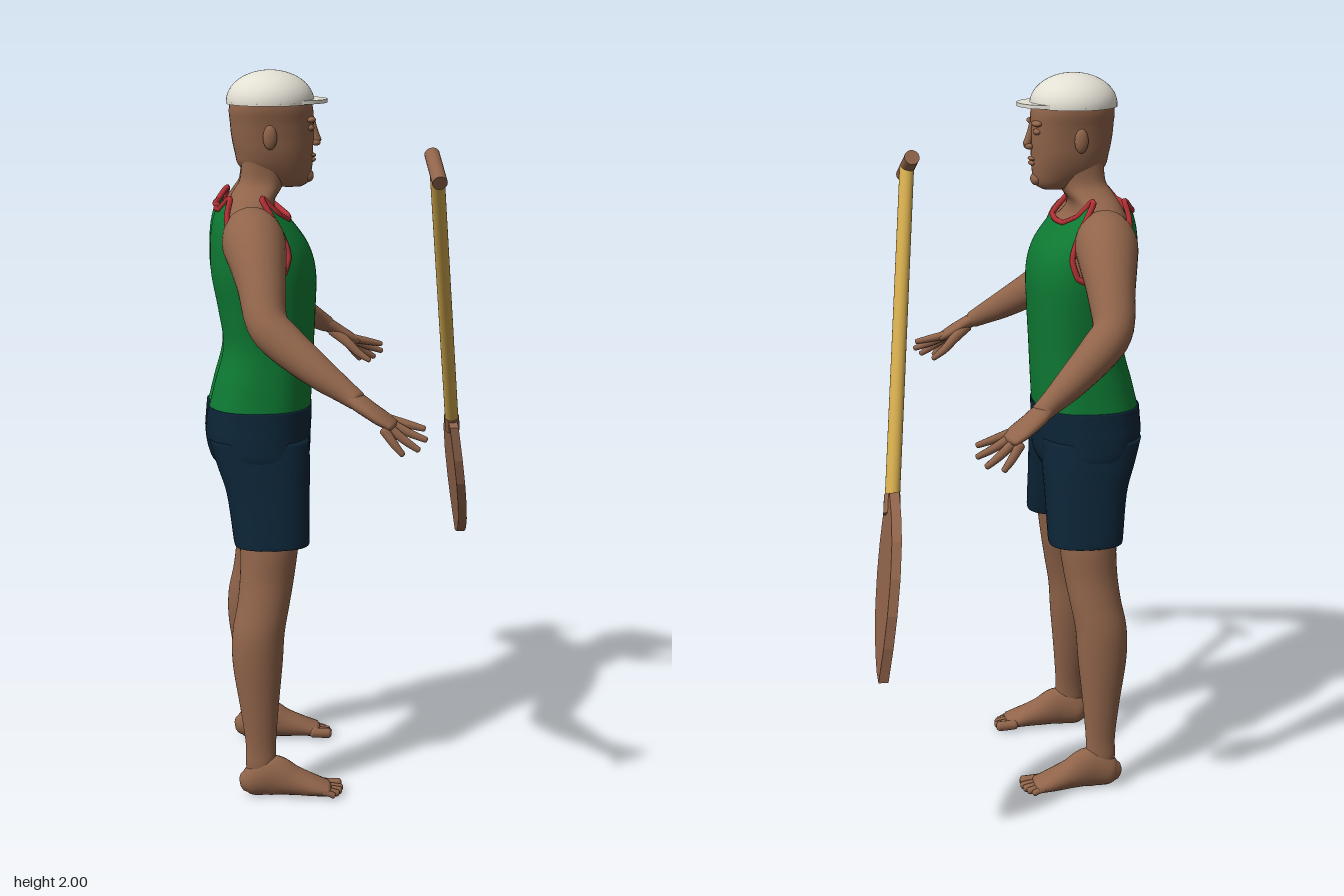
import * as THREE from 'three';

const mat = (name, color, side = THREE.FrontSide) => {
  const m = new THREE.MeshStandardMaterial({ color, side });
  m.name = name;
  return m;
};

// Catmull-Rom through rows of numbers, k steps per span
function smooth(rows, k = 5) {
  const out = [], last = rows.length - 1, at = i => rows[Math.max(0, Math.min(last, i))];
  for (let i = 0; i < last; i++) {
    for (let s = 0; s < k; s++) {
      const t = s / k;
      out.push(rows[i].map((b, c) => {
        const a = at(i - 1)[c], d = at(i + 1)[c], e = at(i + 2)[c];
        return b + 0.5 * t * (d - a + t * (2 * a - 5 * b + 4 * d - e + t * (3 * (b - d) + e - a)));
      }));
    }
  }
  out.push(rows[last]);
  return out;
}

// Closed rings joined into a skin, with optional end caps
function skinRings(rings, caps = true) {
  const n = rings[0].length, pts = rings.flat(), idx = [];
  for (let i = 0; i < rings.length - 1; i++) {
    for (let j = 0; j < n; j++) {
      const a = i * n + j, b = i * n + (j + 1) % n;
      idx.push(a, a + n, b, b, a + n, b + n);
    }
  }
  if (caps) {
    [rings[0], rings[rings.length - 1]].forEach((ring, end) => {
      const c = ring.reduce((s, p) => s.add(p), new THREE.Vector3()).divideScalar(n);
      const o = end ? (rings.length - 1) * n : 0, m = pts.push(c) - 1;
      for (let j = 0; j < n; j++) {
        const a = o + j, b = o + (j + 1) % n;
        idx.push(...(end ? [m, b, a] : [m, a, b]));
      }
    });
  }
  const g = new THREE.BufferGeometry().setFromPoints(pts);
  g.setIndex(idx);
  g.computeVertexNormals();
  return g;
}

// Point on a level cross-section row [y, back, front, z0, z1]
function rowPoint([y, xb, xf, z0, z1], a, n = 2.2, groove = 0) {
  const f = v => Math.sign(v) * Math.abs(v) ** (2 / n);
  const c = Math.cos(a), z = (z0 + z1) / 2 + f(Math.sin(a)) * (z1 - z0) / 2;
  let x = (xb + xf) / 2 + f(c) * (xf - xb) / 2;
  if (c < 0) x += groove * Math.exp(-((z / 0.035) ** 2));
  return new THREE.Vector3(x, y, z);
}
const angles = n => Array.from({ length: n }, (_, j) => j / n * Math.PI * 2);
const loft = (rows, n = 2.2, groove = 0, seg = 40) =>
  skinRings(smooth(rows).map(r => angles(seg).map(a => rowPoint(r, a, n, groove))));
const sym = rows => rows.map(([y, b, f, w]) => [y, b, f, -w, w]);
const flip = (rows, s) => s > 0 ? rows : rows.map(([y, b, f, z0, z1]) => [y, b, f, -z1, -z0]);

// Limb along points [x, y, z, upright radius, sideways radius], with rounded ends
function limb(points, s = 1, seg = 20) {
  const rows = smooth(points.map(([x, y, z, r, w = r]) => [x, y, z * s, r, w]));
  const P = rows.map(r => new THREE.Vector3(r[0], r[1], r[2])), rings = [], L = rows.length - 1;
  rows.forEach((r, i) => {
    const T = P[Math.min(i + 1, L)].clone().sub(P[Math.max(i - 1, 0)]).normalize();
    const U = new THREE.Vector3(0, 1, 0);
    U.addScaledVector(T, -U.dot(T)).normalize();
    const W = new THREE.Vector3().crossVectors(U, T);
    const ring = (k, off) => angles(seg).map(a => P[i].clone().addScaledVector(T, off * r[3])
      .addScaledVector(U, Math.cos(a) * r[3] * k).addScaledVector(W, Math.sin(a) * r[4] * k));
    if (i === L) rings.push(ring(1, 0), ring(0.8, 0.3), ring(0.4, 0.5));
    else if (i === 0) rings.push(ring(0.4, -0.5), ring(0.8, -0.3), ring(1, 0));
    else rings.push(ring(1, 0));
  });
  return skinRings(rings);
}

export function createModel() {
  const group = new THREE.Group();
  const skin = mat('skin', 0x90644a), green = mat('green shirt', 0x0e7a33, THREE.DoubleSide);
  const red = mat('red trim', 0xb23034), navy = mat('navy shorts', 0x0c2436);
  const white = mat('white cap', 0xe2dfd3), pole = mat('yellow shaft', 0xd0a84c), wood = mat('brown wood', 0x91644b);
  const add = (name, geo, m) => {
    const mesh = new THREE.Mesh(geo, m);
    mesh.name = name;
    group.add(mesh);
    return mesh;
  };
  const ball = (name, m, x, y, z, a, b, c) => {
    const mesh = add(name, new THREE.SphereGeometry(1, 20, 14), m);
    mesh.position.set(x, y, z);
    mesh.scale.set(a, b, c);
  };

  // Torso, skin just inside the shirt, running up into the neck
  const body = [[1.07, -.405, -.115, .182], [1.15, -.385, -.11, .178], [1.25, -.36, -.105, .176],
    [1.35, -.372, -.1, .19], [1.45, -.39, -.098, .205], [1.52, -.392, -.115, .208],
    [1.58, -.388, -.155, .2], [1.63, -.375, -.2, .18], [1.67, -.352, -.235, .165]];
  const inner = body.slice(0, 7).map(([y, b, f, w]) => [y, b + .014, f - .014, w - .014]);
  add('torso', loft(sym([...inner, [1.62, -.36, -.205, .16], [1.65, -.345, -.21, .128],
    [1.68, -.33, -.192, .085], [1.71, -.315, -.18, .066], [1.77, -.31, -.165, .064]]), 2.4, .012), skin);

  // Vest: its upper edge follows neckline, straps and armholes
  const edge = [[0, 1.6], [20, 1.603], [36, 1.625], [45, 1.665], [52, 1.668], [57, 1.6], [64, 1.52], [75, 1.47],
    [90, 1.45], [105, 1.47], [116, 1.52], [123, 1.6], [128, 1.668], [136, 1.665], [150, 1.635], [180, 1.63]];
  const edgeY = a => {
    const d = Math.abs((a * 180 / Math.PI + 180) % 360 - 180);
    const i = Math.max(1, edge.findIndex(e => e[0] >= d - 1e-6)), [a0, y0] = edge[i - 1], [a1, y1] = edge[i];
    return y0 + (y1 - y0) * (d - a0) / (a1 - a0);
  };
  const fine = smooth(sym(body), 8);
  const vestPoint = (a, y) => {
    const i = Math.max(1, fine.findIndex(r => r[0] >= y - 1e-6)), p = fine[i - 1], q = fine[i];
    const t = (y - p[0]) / (q[0] - p[0]);
    return rowPoint(p.map((v, c) => v + (q[c] - v) * t), a, 2.5, .012);
  };
  const around = angles(144), vest = [];
  for (let i = 0; i <= 36; i++) vest.push(around.map(a => vestPoint(a, 1.07 + (edgeY(a) - 1.07) * i / 36)));
  add('vest', skinRings(vest, false), green);
  const rim = new THREE.CatmullRomCurve3(vest[36], true);
  add('vestTrim', new THREE.TubeGeometry(rim, 288, .008, 8, true), red);

  // Shorts
  add('shortsWaist', loft(sym([[.9, -.35, -.14, .15], [.94, -.395, -.119, .2], [1.0, -.412, -.115, .198],
    [1.05, -.41, -.112, .19], [1.085, -.407, -.111, .186]]), 2.4, .012), navy);

  for (const s of [1, -1]) {
    const side = s > 0 ? 'back' : 'front';
    const tag = s < 0 ? 'far' : 'near';
    add(tag + 'ShortsLeg', loft(flip([[.72, -.333, -.132, .084, .244], [.728, -.337, -.128, .079, .247],
      [.85, -.354, -.125, .032, .222], [.93, -.38, -.122, .0, .207], [1.0, -.4, -.125, .0, .19]], s), 2.4), navy);

    // Leg, foot and toes
    add(tag + 'Leg', loft(flip([[.03, -.3, -.225, .2, .25], [.09, -.312, -.228, .2, .252],
      [.15, -.312, -.228, .195, .25], [.25, -.325, -.22, .175, .255], [.38, -.345, -.207, .148, .262],
      [.47, -.345, -.2, .135, .262], [.55, -.33, -.185, .122, .25], [.62, -.322, -.172, .105, .24],
      [.7, -.32, -.16, .09, .236], [.78, -.33, -.15, .075, .225]], s), 2), skin);
    add(tag + 'Foot', limb([[-.315, .042, .225, .03, .024], [-.295, .046, .225, .045, .034],
      [-.24, .06, .227, .059, .036], [-.18, .043, .23, .042, .04], [-.12, .028, .235, .027, .046],
      [-.085, .02, .235, .019, .046]], s), skin);
    [[.198, -.05, .015], [.221, -.046, .011], [.241, -.05, .011], [.258, -.058, .01], [.273, -.07, .009]]
      .forEach(([z, tip, r], i) => add(tag + 'Toe' + (i + 1),
        limb([[-.1, .02, z, r], [(tip - .1) / 2, .018, z, r], [tip, r + .002, z, r]], s, 10), skin));

    // Arm, palm, fingers and thumb
    add(tag + 'Arm', limb([[-.28, 1.575, .13, .075], [-.275, 1.555, .19, .085], [-.268, 1.52, .25, .078],
      [-.26, 1.455, .325, .064], [-.25, 1.375, .395, .055], [-.205, 1.325, .435, .053],
      [-.12, 1.26, .495, .042], [-.06, 1.22, .535, .031], [-.03, 1.2, .555, .025, .03]], s, 28), skin);
    add(tag + 'Palm', limb([[-.045, 1.21, .545, .022, .028], [-.01, 1.186, .567, .02, .038],
      [.03, 1.16, .582, .018, .044], [.06, 1.142, .592, .013, .04]], s), skin);
    [[[.05, 1.153, .562], [.1, 1.14, .575], [.14, 1.13, .583]], [[.055, 1.145, .58], [.1, 1.122, .592], [.143, 1.105, .602]],
      [[.05, 1.137, .6], [.09, 1.105, .612], [.122, 1.083, .62]], [[.035, 1.135, .615], [.06, 1.1, .628], [.08, 1.075, .634]]]
      .forEach((f, i) => add(tag + 'Finger' + (i + 1),
        limb(f.map((p, k) => [...p, [.013, .011, .008][k]]), s, 10), skin));
    add(tag + 'Thumb', limb([[-.01, 1.18, .555, .018], [.03, 1.148, .535, .015], [.065, 1.115, .522, .012],
      [.098, 1.093, .512, .008]], s, 10), skin);

    // Paired face details
    ball(tag + 'Ear', skin, -.225, 1.825, s * .09, .019, .033, .012);
    ball(tag + 'Brow', skin, -.112, 1.868, s * .037, .014, .009, .028);
    ball(tag + 'Eyelid', skin, -.114, 1.846, s * .036, .012, .009, .016);
    ball(tag + 'Nostril', skin, -.096, 1.803, s * .011, .012, .008, .008);
  }

  // Head and face
  add('head', loft(sym([[1.685, -.2, -.135, .025], [1.7, -.25, -.114, .045], [1.74, -.305, -.106, .066],
    [1.78, -.318, -.104, .078], [1.82, -.326, -.102, .084], [1.86, -.33, -.102, .09], [1.9, -.332, -.104, .097],
    [1.93, -.318, -.118, .09], [1.96, -.27, -.16, .05]])), skin);
  add('nose', limb([[-.106, 1.865, 0, .008], [-.1, 1.835, 0, .01], [-.092, 1.808, 0, .012]], 1, 12), skin);
  ball('upperLip', skin, -.107, 1.769, 0, .012, .006, .026);
  ball('lowerLip', skin, -.107, 1.757, 0, .011, .007, .023);
  ball('chin', skin, -.118, 1.713, 0, .016, .018, .028);

  // Cap with a round peak
  const dome = add('capDome', new THREE.SphereGeometry(1, 48, 16, 0, Math.PI * 2, 0, Math.PI / 2), white);
  dome.position.set(-.22, 1.915, 0);
  dome.scale.set(.12, .085, .12);
  add('capBase', new THREE.CylinderGeometry(.12, .12, .006, 48), white).position.set(-.22, 1.913, 0);
  add('capPeak', new THREE.CylinderGeometry(.088, .088, .01, 40), white).position.set(-.152, 1.917, 0);

  // Paddle: shaft, cross grip, collar and sheared blade
  const rod = (name, a, b, r, m) => {
    const p = new THREE.Vector3(...a), q = new THREE.Vector3(...b), d = q.clone().sub(p);
    const mesh = add(name, new THREE.CylinderGeometry(r, r, d.length(), 20), m);
    mesh.position.copy(p).add(q).multiplyScalar(.5);
    mesh.quaternion.setFromUnitVectors(new THREE.Vector3(0, 1, 0), d.normalize());
  };
  rod('paddleShaft', [.225, 1.735, .105], [.337, .92, -.391], .02, pole);
  rod('paddleGrip', [.226, 1.707, .168], [.218, 1.773, .045], .021, wood);
  rod('paddleCollar', [.334, .945, -.376], [.34, .9, -.403], .022, wood);
  const outline = [[.345, .915], [.405, .96], [.48, .925], [.55, .872], [.605, .79], [.633, .7], [.64, .615], [.632, .52],
    [.58, .53], [.525, .557], [.465, .6], [.415, .655], [.372, .735], [.352, .81]].map(p => new THREE.Vector2(...p));
  const blade = new THREE.ExtrudeGeometry(new THREE.Shape(outline), { depth: .026, bevelEnabled: false });
  blade.rotateY(Math.PI / 2);
  blade.applyMatrix4(new THREE.Matrix4().set(1, -.14, 0, .322 + .14 * .94, 0, 1, 0, 0, 0, 0, 1, 0, 0, 0, 0, 1));
  add('paddleBlade', blade, wood);

  return group;
}
